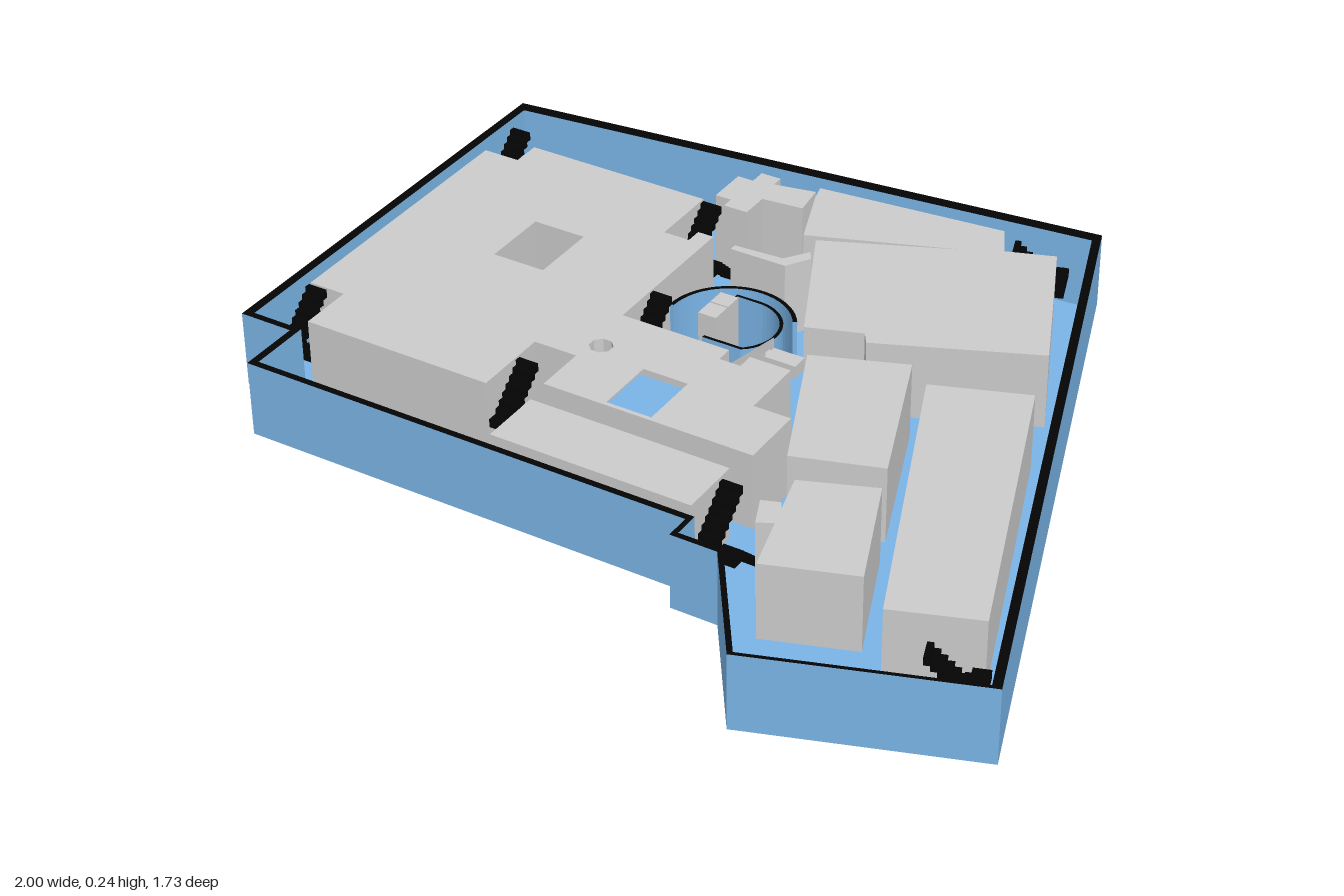
import * as THREE from 'three';

const grey = new THREE.MeshStandardMaterial({ color: 0xcccccc });
const blue = new THREE.MeshStandardMaterial({ color: 0x7ab4e6 });
const black = new THREE.MeshStandardMaterial({ color: 0x040404 });
const FLOOR = 0.02, TOP = 0.205, WALL = 0.197, SCREEN = 0.165;

// Plans run clockwise seen from above; reversed they suit the extruder
const plan = (pts) => pts.map(([x, z]) => new THREE.Vector2(x, -z)).reverse();
const rect = (x0, z0, x1, z1) => [[x0, z0], [x1, z0], [x1, z1], [x0, z1]];

// Upright prism over a floor plan given in (x, z)
function prism(name, pts, y0, y1, material, holes = []) {
  const shape = new THREE.Shape(plan(pts));
  holes.forEach((h) => shape.holes.push(new THREE.Path(plan(h))));
  const geo = new THREE.ExtrudeGeometry(shape, { depth: y1 - y0, bevelEnabled: false });
  geo.rotateX(-Math.PI / 2).translate(0, y0, 0);
  const mesh = new THREE.Mesh(geo, material);
  mesh.name = name;
  return mesh;
}

function box(name, x0, x1, y0, y1, z0, z1, material) {
  const mesh = new THREE.Mesh(new THREE.BoxGeometry(x1 - x0, y1 - y0, z1 - z0), material);
  mesh.position.set((x0 + x1) / 2, (y0 + y1) / 2, (z0 + z1) / 2);
  mesh.name = name;
  return mesh;
}

// Inner outline of a closed plan, with its own thickness for every edge
function inset(pts, widths) {
  const n = pts.length;
  const lines = pts.map(([x, z], i) => {
    const [x2, z2] = pts[(i + 1) % n];
    const l = Math.hypot(x2 - x, z2 - z), dx = (x2 - x) / l, dz = (z2 - z) / l;
    return { x: x - dz * widths[i], z: z + dx * widths[i], dx, dz };
  });
  return lines.map((b, i) => {
    const a = lines[(i + n - 1) % n];
    const t = ((b.x - a.x) * b.dz - (b.z - a.z) * b.dx) / (a.dx * b.dz - a.dz * b.dx);
    return [a.x + a.dx * t, a.z + a.dz * t];
  });
}

// Thin free-standing wall that follows an open path
function ribbon(name, path, width) {
  const sides = [-1, 1].map((s) => path.map(([x, z], i) => {
    const p = path[Math.max(i - 1, 0)], q = path[Math.min(i + 1, path.length - 1)];
    const l = Math.hypot(q[0] - p[0], q[1] - p[1]), k = s * width / 2 / l;
    return [x - (q[1] - p[1]) * k, z + (q[0] - p[0]) * k];
  }));
  return prism(name, [...sides[0], ...sides[1].reverse()], 0.013, SCREEN, [black, blue]);
}

function arc(cx, cz, r, from, to, n) {
  return Array.from({ length: n + 1 }, (_, i) => {
    const a = THREE.MathUtils.degToRad(from + (to - from) * i / n);
    return [cx + r * Math.cos(a), cz + r * Math.sin(a)];
  });
}

// Two-flight stair with a half landing
function staircase(x, z, turn = 0) {
  const g = new THREE.Group(), n = 7, run = 0.096 / n, rise = 0.09 / n;
  for (let i = 0; i < n; i++) {
    const y = FLOOR + rise * (i + 1), z0 = run * i - 0.06;
    g.add(box('lowerStep', 0.002, 0.05, y - 0.0125, y, z0, z0 + run, black));
    g.add(box('upperStep', -0.05, -0.002, y + 0.07, y + 0.09, -z0 - 0.024 - run, -z0 - 0.024, black));
  }
  g.add(box('landing', -0.05, 0.05, 0.09, 0.11, 0.036, 0.06, black));
  g.position.set(x, 0, z);
  g.rotation.y = turn;
  g.name = 'staircase';
  return g;
}

export function createModel() {
  const model = new THREE.Group();

  // Floor and outer wall
  const outline = [[-1, -0.705], [0.462, -0.865], [1, 0.69], [0.51, 0.862], [0.33, 0.597],
    [0.22, 0.597], [0.22, 0.537], [-0.87, 0.537], [-0.87, 0.388], [-1, 0.388]];
  const inner = inset(outline, [0.03, 0.02, 0.009, 0.012, 0.014, 0.012, 0.016, 0.018, 0.016, 0.022]);
  model.add(prism('floor', outline, 0.015, FLOOR, blue));
  model.add(prism('outerWall', outline, 0.017, WALL, [black, blue], [inner]));

  // Large block with its courtyard, shaft and skylight openings
  model.add(prism('mainBlock', [[-0.94, -0.46], [-0.85, -0.46], [-0.85, -0.53], [-0.385, -0.53],
    [-0.385, -0.36], [-0.32, -0.36], [-0.32, -0.4], [-0.28, -0.4], [-0.28, -0.02], [-0.012, -0.02],
    [-0.012, 0.02], [0.04, 0.02], [0.04, -0.02], [0.14, -0.02], [0.14, 0.135], [0.23, 0.135],
    [0.23, 0.29], [-0.28, 0.29], [-0.28, 0.165], [-0.385, 0.165], [-0.385, 0.35], [-0.85, 0.35],
    [-0.85, 0.22], [-0.94, 0.22]], FLOOR, TOP, grey, [
    rect(-0.66, -0.25, -0.53, -0.085),
    arc(-0.255, 0.105, 0.027, 22.5, 337.5, 7),
    rect(-0.13, 0.135, -0.02, 0.28)]));
  model.add(prism('skylight', rect(-0.13, 0.15, -0.02, 0.28), 0.017, 0.2, blue));

  // Other blocks
  const blocks = {
    frontBlock: rect(-0.28, 0.34, 0.205, 0.49),
    leftInnerBlock: [[0.14, -0.09], [0.35, -0.17], [0.487, 0.19], [0.29, 0.255]],
    leftOuterBlock: [[0.41, -0.12], [0.625, -0.2], [0.89, 0.53], [0.7, 0.6]],
    leftFrontBlock: [[0.345, 0.32], [0.51, 0.255], [0.62, 0.53], [0.42, 0.6]],
    linkBlock: [[0.32, 0.415], [0.36, 0.4], [0.4, 0.46], [0.35, 0.485]],
    backBlock: [[-0.18, -0.71], [0.27, -0.757], [0.31, -0.68], [0.42, -0.72], [0.583, -0.35],
      [0.225, -0.195], [0.205, -0.225], [0.08, -0.18], [-0.075, -0.505], [0.225, -0.637],
      [-0.11, -0.51], [-0.17, -0.67]],
    backRooms: [[-0.37, -0.66], [-0.33, -0.66], [-0.33, -0.7], [-0.28, -0.7], [-0.28, -0.67],
      [-0.18, -0.69], [-0.17, -0.61], [-0.27, -0.6], [-0.27, -0.53], [-0.33, -0.53],
      [-0.33, -0.56], [-0.37, -0.56]],
    bentBlock: [[-0.22, -0.393], [-0.1, -0.4], [-0.06, -0.455], [-0.045, -0.43], [-0.08, -0.375],
      [-0.22, -0.375]],
  };
  for (const [name, pts] of Object.entries(blocks)) {
    model.add(prism(name, pts, FLOOR, name === 'frontBlock' ? 0.195 : TOP, grey));
  }

  // Curved screens around the lift
  model.add(ribbon('outerScreen', arc(-0.1, -0.165, 0.145, 180, 328, 24), 0.01));
  model.add(ribbon('innerScreen', [[-0.14, -0.237], [-0.14, -0.27],
    ...arc(-0.085, -0.17, 0.1, -90, 52, 20), [-0.12, -0.091]], 0.008));
  model.add(box('liftFront', -0.15, -0.105, FLOOR, 0.2, -0.168, -0.12, grey));
  model.add(box('liftBack', -0.15, -0.105, FLOOR, 0.2, -0.216, -0.172, grey));

  // Escalator with sloping side panels
  const escalator = new THREE.Group();
  escalator.name = 'escalator';
  const steps = 18;
  for (let i = 0; i < steps; i++) {
    const x = -0.11 + i * 0.01, y = 0.02 + (i + 1) * 0.185 / steps;
    escalator.add(box('step', x, x + 0.01, y - 0.025, y, -0.066, -0.034, grey));
  }
  escalator.add(box('lowerLanding', -0.17, -0.11, 0, 0.022, -0.07, -0.03, grey));
  escalator.add(box('upperLanding', 0.07, 0.145, 0.18, 0.21, -0.07, -0.03, grey));
  const panel = new THREE.Shape([[-0.11, 0.01], [0.07, 0.18], [0.07, 0.237], [-0.11, 0.065]]
    .map(([x, y]) => new THREE.Vector2(x, y)));
  for (const z of [-0.07, -0.034]) {
    const side = new THREE.Mesh(
      new THREE.ExtrudeGeometry(panel, { depth: 0.004, bevelEnabled: false }), grey);
    side.position.z = z;
    side.name = 'sidePanel';
    escalator.add(side);
  }
  model.add(escalator);

  // Stairs
  const slant = 0.33 + Math.PI / 2;
  [[-0.9, -0.53], [-0.335, -0.47], [-0.23, -0.085], [-0.335, 0.285], [-0.895, 0.28],
    [0.265, 0.445], [0.362, -0.763, slant], [0.872, 0.617, slant]]
    .forEach((s) => model.add(staircase(...s)));

  return model;
}
